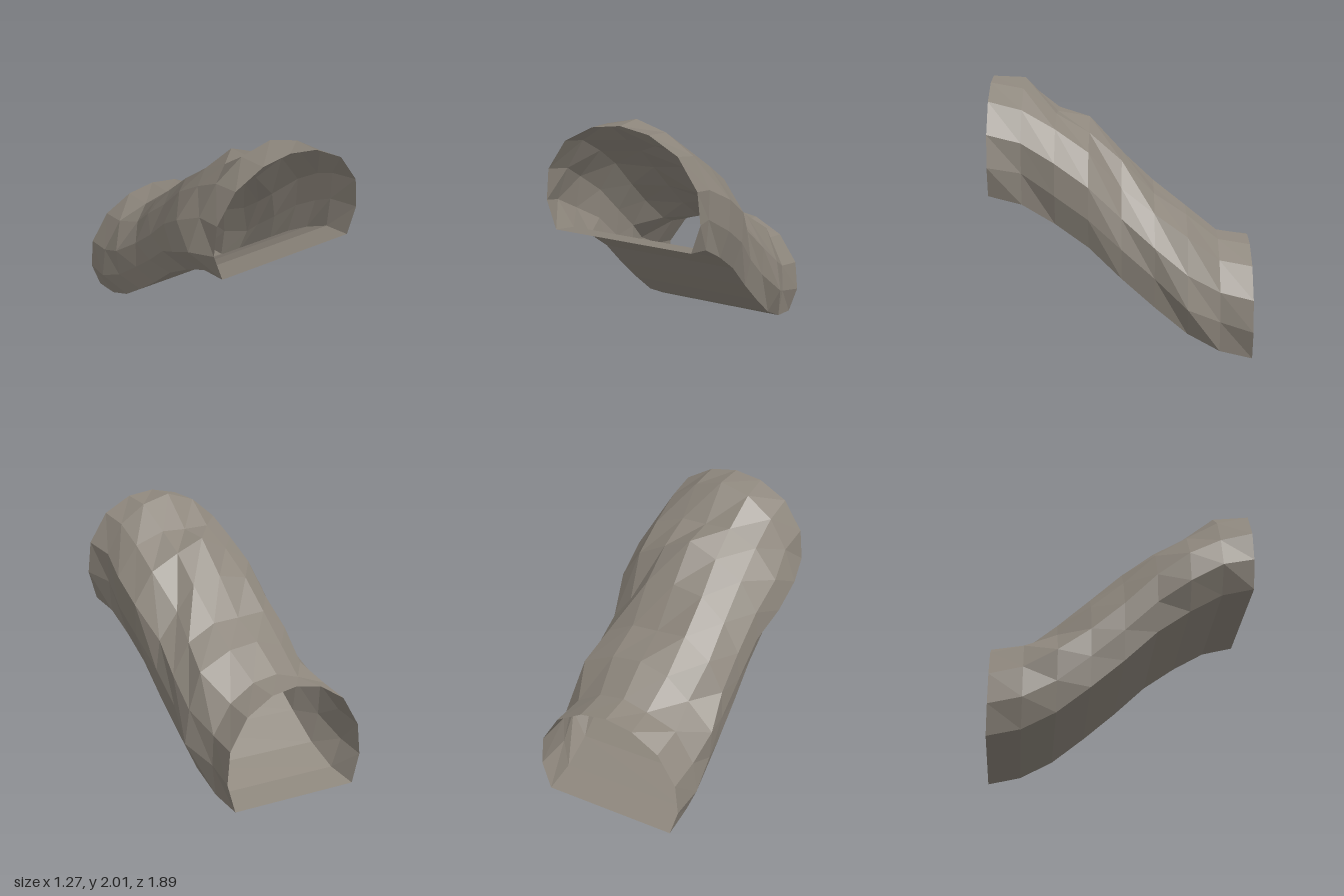
import * as THREE from 'three';

const CENTRE_X = 0.013, CENTRE_Y = 0.4;

// Regular arch section above the floor, from the right foot over the crown to the left foot
const half = [[0.523, 0], [0.59, 0.21], [0.567, 0.44], [0.425, 0.66], [0.213, 0.78]];
const arch = [
  ...half.map(([x, y]) => [-x, y]),
  [0, 0.815],
  ...half.slice().reverse(),
];

// Floor height of each ring, front to back
const floorY = [1.19, 1.13, 0.99, 0.82, 0.59, 0.38, 0.185, 0.055, 0];

// Rocky in/out offsets of the nine points between the feet, ring by ring
const bumps = [
  [0, 0, 0, 0, 0, 0, 0, 0, 0],
  [0.06, -0.01, 0, 0.03, 0.05, 0.02, 0, -0.02, -0.05],
  [0.05, 0.03, 0, -0.015, -0.06, -0.03, 0.01, 0.03, 0],
  [-0.01, 0, 0.01, 0.01, 0.07, 0.01, 0.02, 0.03, 0],
  [-0.03, -0.02, 0, 0.05, 0.045, 0.04, -0.055, -0.035, -0.03],
  [-0.04, -0.02, 0.01, 0.04, -0.02, 0, 0.01, 0, -0.03],
  [-0.01, 0.03, -0.03, 0.02, 0.04, 0.05, 0.08, 0.02, 0.035],
  [0.02, 0.01, 0.01, -0.04, -0.02, -0.02, -0.03, -0.025, -0.04],
  [0, 0, 0, 0, 0, 0, 0, 0, 0],
];

const RINGS = floorY.length;
const ringZ = (k) => 0.945 - (1.89 * k) / (RINGS - 1);

// Arch section of ring k with its bumps pushed out from the centre
function archRing(k) {
  return arch.map(([x, y], j) => {
    const push = bumps[k][j - 1] ?? 0;
    const r = Math.hypot(x, y - CENTRE_Y);
    const s = 1 + push / r;
    return [CENTRE_X + x * s, floorY[k] + CENTRE_Y + (y - CENTRE_Y) * s, ringZ(k)];
  });
}

// Straight floor section of ring k, left to right
function floorRing(k) {
  return [0.523, -0.523].map((x) => [CENTRE_X + x, floorY[k], ringZ(k)]);
}

// Join the rings into a faceted skin
function skin(ringAt) {
  const positions = [], index = [];
  const n = ringAt(0).length;
  for (let k = 0; k < RINGS; k++) {
    for (const p of ringAt(k)) positions.push(...p);
    if (k === RINGS - 1) break;
    for (let j = 0; j < n - 1; j++) {
      const a = k * n + j, b = a + 1, d = a + n, c = d + 1;
      index.push(a, b, c, a, c, d);
    }
  }
  const geometry = new THREE.BufferGeometry();
  geometry.setAttribute('position', new THREE.Float32BufferAttribute(positions, 3));
  geometry.setIndex(index);
  const flat = geometry.toNonIndexed();
  flat.computeVertexNormals();
  return flat;
}

export function createModel() {
  const group = new THREE.Group();
  group.name = 'slopingTunnel';

  const rock = new THREE.MeshStandardMaterial({
    color: 0x8d867c, flatShading: true, side: THREE.DoubleSide,
  });
  rock.name = 'greyRock';

  // Arched walls and ceiling
  const walls = new THREE.Mesh(skin(archRing), rock);
  walls.name = 'tunnelArch';

  // Sloping floor
  const floor = new THREE.Mesh(skin(floorRing), rock);
  floor.name = 'tunnelFloor';

  group.add(walls, floor);
  return group;
}
